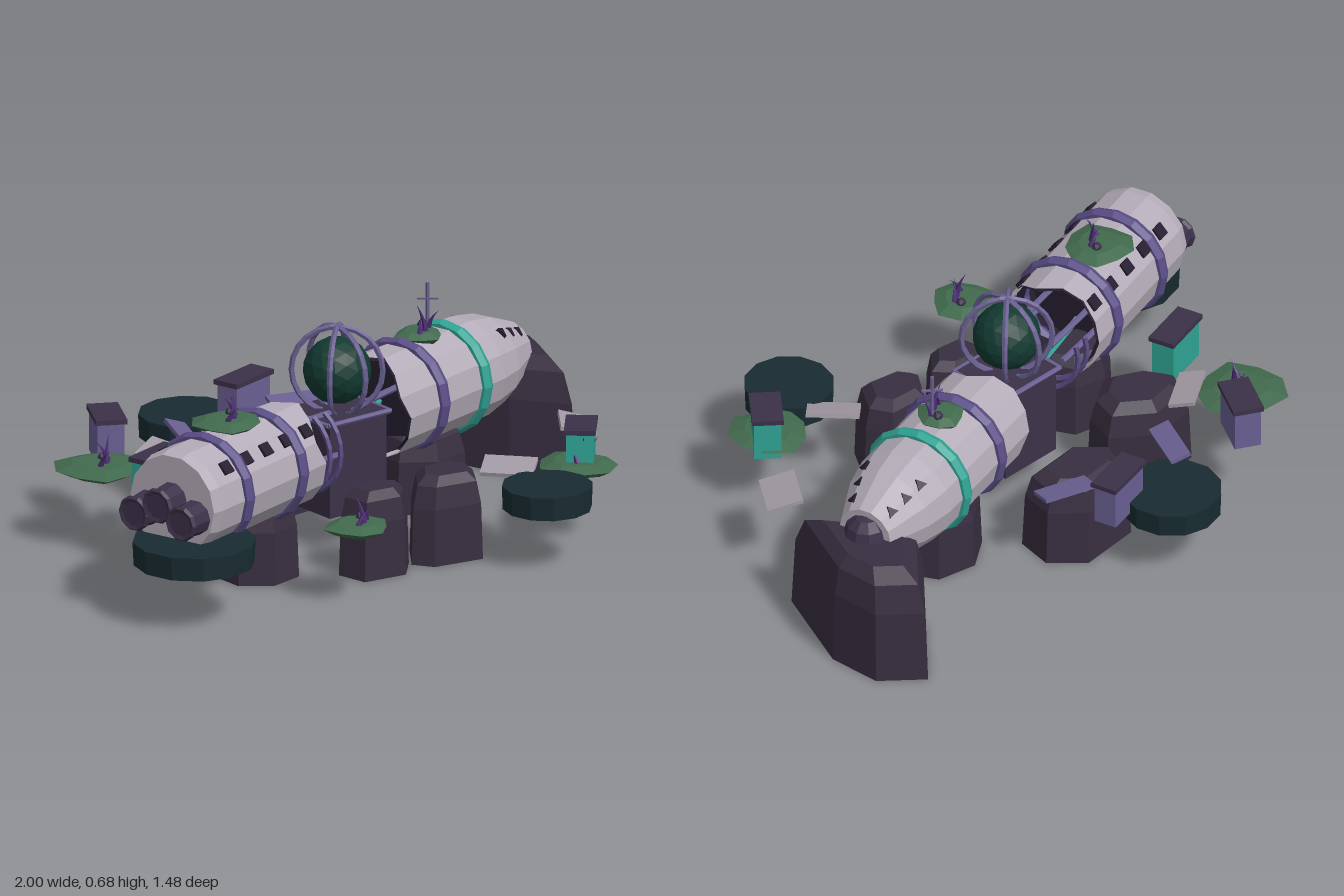
import * as THREE from 'three';

const mat = (color, side = THREE.FrontSide) =>
  new THREE.MeshStandardMaterial({ color, flatShading: true, side });
const M = {
  hull: mat(0xb4acb8, THREE.DoubleSide), lining: mat(0x241d2e, THREE.DoubleSide),
  purple: mat(0x5a4d86), teal: mat(0x2fa394), rock: mat(0x382e40), disc: mat(0x182b31),
  green: mat(0x416a4d), dark: mat(0x3c3149), core: mat(0x123a31), panel: mat(0xa29aa4),
  lilac: mat(0x6a6092), thorn: mat(0x4a2c72),
};
const V = (x, y, z) => new THREE.Vector3(x, y, z);

function add(parent, name, geo, material, x = 0, y = 0, z = 0) {
  const m = new THREE.Mesh(geo, material);
  m.name = name;
  m.position.set(x, y, z);
  parent.add(m);
  return m;
}

// Straight round bar between two points
function beam(parent, name, a, b, r, material) {
  const d = b.clone().sub(a);
  const m = add(parent, name, new THREE.CylinderGeometry(r, r, d.length(), 6), material);
  m.position.copy(a).add(b).multiplyScalar(0.5);
  m.quaternion.setFromUnitVectors(V(0, 1, 0), d.normalize());
  return m;
}

// Solid from one outline [x, z] (clockwise from above) scaled at several [height, scale] levels
function loft(outline, levels) {
  const n = outline.length, pos = [], idx = [];
  const cx = outline.reduce((s, p) => s + p[0], 0) / n;
  const cz = outline.reduce((s, p) => s + p[1], 0) / n;
  for (const [y, s] of levels)
    for (const [x, z] of outline) pos.push(cx + (x - cx) * s, y, cz + (z - cz) * s);
  pos.push(cx, levels[0][0], cz, cx, levels[levels.length - 1][0], cz);
  const bottom = n * levels.length, last = bottom - n;
  for (let i = 0; i < n; i++) {
    const j = (i + 1) % n;
    for (let l = 0; l < levels.length - 1; l++) {
      const a = l * n + i, b = l * n + j;
      idx.push(a, a + n, b, b, a + n, b + n);
    }
    idx.push(bottom, i, j, bottom + 1, last + j, last + i);
  }
  const g = new THREE.BufferGeometry();
  g.setAttribute('position', new THREE.Float32BufferAttribute(pos, 3));
  g.setIndex(idx);
  g.computeVertexNormals();
  return g;
}

// Lathe along x; vertices near the torn end are pushed in and out
function tube(profile, tornX, sides = 14) {
  const g = new THREE.LatheGeometry(profile.map(([x, r]) => new THREE.Vector2(r, x)), sides);
  g.rotateZ(-Math.PI / 2);
  const p = g.attributes.position;
  for (let i = 0; i < p.count; i++) {
    if (Math.abs(p.getX(i) - tornX) > 0.001) continue;
    const a = Math.atan2(p.getZ(i), p.getY(i));
    p.setX(i, tornX + 0.022 * Math.sin(3 * a + 1) + 0.014 * Math.sin(5 * a));
  }
  g.computeVertexNormals();
  return g;
}

function band(parent, x, material, r = 0.16) {
  const m = add(parent, 'hullBand', new THREE.TorusGeometry(r, 0.019, 6, 16), material, x);
  m.rotation.y = Math.PI / 2;
  m.scale.z = 1.25;
}

// Bent cone leaf
function thorn(parent, x, y, z, h, bend, turn) {
  const g = new THREE.ConeGeometry(0.013, h, 5, 4);
  g.translate(0, h / 2, 0);
  const p = g.attributes.position;
  for (let i = 0; i < p.count; i++) p.setX(i, p.getX(i) + bend * (p.getY(i) / h) ** 2);
  g.computeVertexNormals();
  add(parent, 'thorn', g, M.thorn, x, y, z).rotation.y = turn;
}

// Irregular moss slab with a few thorns
function mossPatch(parent, x, y, z, r, turn) {
  const g = new THREE.Group();
  g.name = 'mossPatch';
  const outline = [];
  for (let i = 0; i < 9; i++) {
    const a = i / 9 * Math.PI * 2, k = r * (0.97 + 0.1 * Math.sin(i * 2.4 + turn));
    outline.push([Math.cos(a) * k, Math.sin(a) * k]);
  }
  add(g, 'moss', loft(outline, [[-0.02, 0.7], [0, 1], [0.015, 0.6]]), M.green);
  thorn(g, 0.01, 0, 0.02, 0.1, 0.03, turn);
  thorn(g, 0.035, 0, 0, 0.075, 0.04, turn + 2);
  thorn(g, -0.02, 0, 0.03, 0.065, 0.04, turn + 4);
  add(g, 'bud', new THREE.IcosahedronGeometry(0.016, 0), M.dark, 0.03, 0.02, -0.02);
  g.position.set(x, y, z);
  parent.add(g);
}

// Small hut with an overhanging roof plate
function hut(parent, x, z, w, d, turn, material) {
  const g = new THREE.Group();
  g.name = 'hut';
  add(g, 'hutBody', new THREE.BoxGeometry(w * 0.88, 0.13, d * 0.86), material, 0, 0.275, 0);
  add(g, 'hutRoof', new THREE.BoxGeometry(w, 0.015, d), M.dark, 0, 0.345, 0);
  g.position.set(x, 0, z);
  g.rotation.y = turn;
  parent.add(g);
}

export function createModel() {
  const root = new THREE.Group();
  root.name = 'wreckSettlement';

  // Rocks
  const oval = (cx, cz, rx, rz) => [0, 1, 2, 3, 4, 5, 6].map(i => {
    const a = i / 7 * Math.PI * 2;
    return [cx + rx * Math.cos(a), cz + rz * Math.sin(a)];
  });
  const rocks = [
    [0.36, [[0.87, -0.515], [0.985, -0.41], [0.995, -0.24], [0.87, 0.055], [0.75, -0.11], [0.68, -0.32]]],
    [0.27, [[-0.49, -0.28], [-0.33, -0.31], [-0.2, -0.21], [-0.23, -0.1], [-0.34, -0.03], [-0.48, -0.1], [-0.535, -0.19]]],
    [0.27, [[-0.09, -0.42], [0.11, -0.44], [0.2, -0.35], [0.18, -0.23], [-0.05, -0.21], [-0.14, -0.3]]],
    [0.27, [[-0.23, 0.3], [-0.155, 0.265], [-0.05, 0.28], [0.005, 0.34], [-0.07, 0.42], [-0.21, 0.4]]],
    [0.27, [[0, 0.36], [0.08, 0.25], [0.23, 0.26], [0.27, 0.34], [0.2, 0.45], [0.04, 0.42]]],
    [0.25, oval(0.39, -0.08, 0.15, 0.13)],
    [0.25, oval(-0.41, 0.14, 0.13, 0.12)],
  ];
  for (const [h, o] of rocks)
    add(root, 'rock', loft(o, [[0, 1], [h * 0.65, 0.95], [h * 0.9, 0.83], [h, 0.58]]), M.rock);

  // Rear hull half, torn at its +x end
  const aft = new THREE.Group();
  aft.name = 'rearHull';
  aft.position.set(-0.585, 0.355, 0.21);
  aft.rotation.y = 0.283;
  root.add(aft);
  add(aft, 'rearShell', tube([[-0.285, 0], [-0.285, 0.152], [-0.25, 0.161], [0.1, 0.161], [0.285, 0.161]], 0.285), M.hull);
  add(aft, 'rearLining', tube([[0.12, 0], [0.12, 0.148], [0.28, 0.148]], 0.28), M.lining);
  band(aft, -0.115, M.purple);
  band(aft, 0.165, M.purple);
  for (let i = 0; i < 5; i++)
    for (const s of [1, -1]) {
      const w = add(aft, 'window', new THREE.BoxGeometry(0.042, 0.04, 0.014), M.lining, -0.175 + i * 0.103, 0.106, s * 0.118);
      w.rotation.x = -s * 0.73;
    }
  for (const [y, z] of [[0.015, 0], [-0.025, -0.085], [-0.025, 0.085]]) {
    const e = add(aft, 'engine', new THREE.CylinderGeometry(0.046, 0.055, 0.09, 10), M.dark, -0.32, y, z);
    e.rotation.z = Math.PI / 2;
    const r = add(aft, 'engineRim', new THREE.TorusGeometry(0.046, 0.01, 5, 10), M.dark, -0.36, y, z);
    r.rotation.y = Math.PI / 2;
  }

  // Exposed frame ribs and broken beams beyond the tear
  for (const x of [0.33, 0.385]) {
    const rib = add(aft, 'frameRib', new THREE.TorusGeometry(0.145, 0.009, 5, 18, 4.4), M.purple, x);
    rib.rotation.set(0, Math.PI / 2, 0);
    rib.rotateZ(2.2);
  }
  for (const [y, z, e] of [[0.1, 0.03, 0.46], [0.06, -0.09, 0.42], [-0.01, 0.09, 0.43], [0, -0.12, 0.4]])
    beam(aft, 'brokenBeam', V(0.2, y, z), V(e, y - 0.012, z + 0.02), 0.01, M.lilac);
  beam(aft, 'tealPipe', V(0.18, -0.02, -0.03), V(0.47, -0.03, -0.04), 0.011, M.teal);

  // Front hull half with tapered nose
  const fore = new THREE.Group();
  fore.name = 'frontHull';
  fore.position.set(0.15, 0.355, -0.035);
  fore.rotation.y = 0.253;
  root.add(fore);
  add(fore, 'frontShell', tube([[0, 0.16], [0.18, 0.161], [0.468, 0.161], [0.564, 0.143], [0.7, 0.088], [0.7, 0]], 0), M.hull);
  add(fore, 'frontLining', tube([[0.005, 0.148], [0.14, 0.148], [0.14, 0]], 0.005), M.lining);
  add(fore, 'noseCap', new THREE.SphereGeometry(0.07, 10, 6), M.dark, 0.69, 0, 0);
  band(fore, 0.165, M.purple);
  band(fore, 0.375, M.teal);
  for (const s of [1, -1])
    for (let i = 0; i < 3; i++) {
      const r = 0.148 - i * 0.023;
      const w = add(fore, 'noseWindow', new THREE.CylinderGeometry(0.021, 0.021, 0.016, 3), M.lining,
        0.535 + i * 0.06, r * 0.76, s * r * 0.63);
      w.rotation.set(s * 0.7, 0, -0.35);
    }
  beam(fore, 'tealPipe', V(-0.07, -0.03, 0.02), V(0.12, -0.02, -0.05), 0.011, M.teal);
  beam(fore, 'brokenBeam', V(-0.07, 0.04, 0.03), V(0.1, 0.045, 0.03), 0.01, M.lilac);

  // Mast on the front hull
  beam(root, 'mast', V(0.43, 0.5, -0.1), V(0.43, 0.675, -0.1), 0.006, M.lilac);
  beam(root, 'mastBar', V(0.405, 0.625, -0.12), V(0.455, 0.625, -0.08), 0.005, M.lilac);

  // Central pedestal, core and cage
  const core = new THREE.Group();
  core.name = 'reactor';
  core.position.set(-0.02, 0, 0.03);
  root.add(core);
  add(core, 'pedestal', new THREE.BoxGeometry(0.215, 0.29, 0.2), M.dark, 0, 0.255, 0);
  add(core, 'pedestalPlate', new THREE.BoxGeometry(0.235, 0.015, 0.21), M.dark, 0, 0.402, 0);
  for (const s of [1, -1]) {
    beam(core, 'plateRim', V(-0.12, 0.405, s * 0.105), V(0.12, 0.405, s * 0.105), 0.008, M.lilac);
    beam(core, 'plateRim', V(s * 0.118, 0.405, -0.105), V(s * 0.118, 0.405, 0.105), 0.008, M.lilac);
  }
  add(core, 'coreSphere', new THREE.IcosahedronGeometry(0.103, 2), M.core, 0, 0.53, 0);
  for (const a of [Math.PI / 2, 0.73, -0.73])
    add(core, 'cageHoop', new THREE.TorusGeometry(0.136, 0.009, 5, 22), M.lilac, 0, 0.53, 0).rotation.y = a;

  // Round landing pads
  for (const [x, z, r] of [[-0.09, -0.59, 0.152], [-0.815, 0.34, 0.186], [0.325, 0.6, 0.137]])
    add(root, 'roundPad', new THREE.CylinderGeometry(r, r * 0.98, 0.072, 12), M.disc, x, 0.212, z);

  // Moss patches
  for (const [x, y, z, r, t] of [[-0.6, 0.24, -0.38, 0.14, 0.6], [-0.345, 0.24, 0.53, 0.1, 2], [0.535, 0.235, 0.48, 0.125, 4],
    [-0.555, 0.517, 0.17, 0.108, 1], [0.395, 0.52, -0.1, 0.075, 3]])
    mossPatch(root, x, y, z, r, t);

  // Huts
  hut(root, 0.565, 0.46, 0.15, 0.095, 0.85, M.teal);
  hut(root, -0.585, -0.12, 0.18, 0.085, 0.27, M.teal);
  hut(root, -0.47, -0.505, 0.165, 0.095, 1.07, M.lilac);
  hut(root, 0.065, -0.52, 0.185, 0.085, 0.25, M.lilac);

  // Loose hull panels lying around
  for (const [x, y, z, w, d, turn, tilt, m] of [
    [-0.45, 0.28, -0.3, 0.17, 0.08, 0.57, 0.25, M.panel], [0.74, 0.25, 0.225, 0.16, 0.11, 0.95, 0.25, M.panel],
    [0.335, 0.25, 0.405, 0.16, 0.1, -0.85, 0.25, M.panel], [-0.24, 0.26, -0.435, 0.18, 0.065, 1.15, 0.3, M.lilac],
    [0.17, 0.28, -0.4, 0.17, 0.08, -0.3, 0.2, M.lilac]]) {
    const p = add(root, 'loosePanel', new THREE.BoxGeometry(w, 0.012, d), m, x, y, z);
    p.rotation.set(tilt, turn, 0, 'YXZ');
  }
  return root;
}
